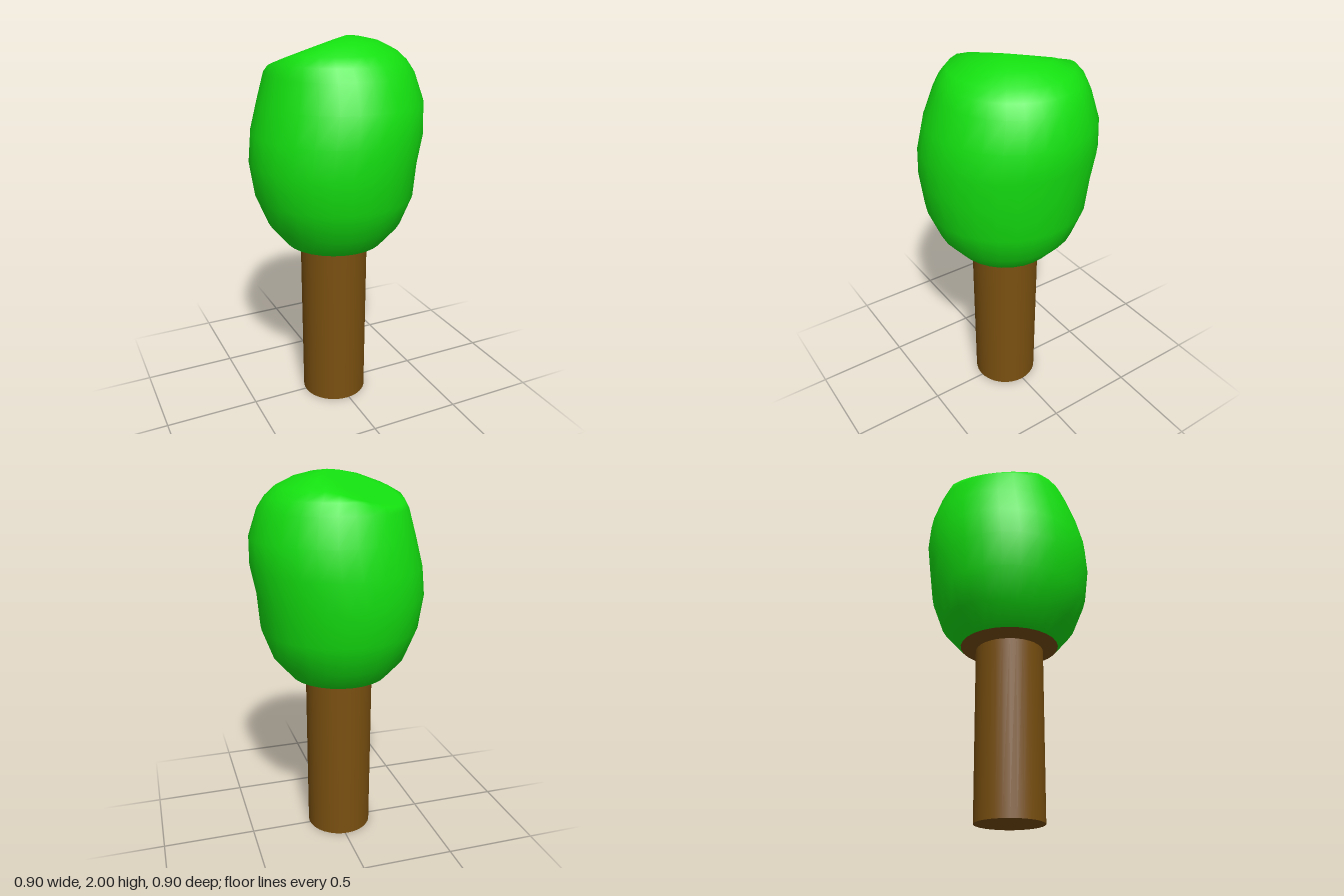
import * as THREE from 'three';

const SEG = 28;

// Skin through egg-shaped rings, each given as [y, xMin, xMax, zMin, zMax]
function loft(rings, limit = (x, y) => y) {
  const pos = [], index = [], row = SEG + 1;
  for (const [y, x0, x1, z0, z1] of rings) {
    const cx = (x0 + x1) / 2, cz = (z0 + z1) / 2;
    for (let i = 0; i < SEG; i++) {
      const a = (i / SEG) * Math.PI * 2;
      const x = cx + Math.cos(a) * (x1 - x0) / 2;
      const z = cz + Math.sin(a) * (z1 - z0) / 2;
      pos.push(x, limit(x, y, z), z);
    }
  }
  for (let r = 0; r < rings.length - 1; r++) {
    for (let i = 0; i < SEG; i++) {
      const j = (i + 1) % SEG;
      const a = r * SEG + i, n = r * SEG + j, b = a + SEG, m = n + SEG;
      index.push(a, b, n, n, b, m);
    }
  }
  const geo = new THREE.BufferGeometry();
  geo.setAttribute('position', new THREE.Float32BufferAttribute(pos, 3));
  geo.setIndex(index);
  geo.computeVertexNormals();
  return geo;
}

export function createModel() {
  const group = new THREE.Group();
  const bark = new THREE.MeshStandardMaterial({ color: 0x7a5010 });
  const leaves = new THREE.MeshStandardMaterial({ color: 0x14e010 });
  const add = (name, geo, mat) => {
    const mesh = new THREE.Mesh(geo, mat);
    mesh.name = name;
    group.add(mesh);
    return mesh;
  };

  // Trunk, a touch wider at the top
  const trunk = add('trunk', new THREE.CylinderGeometry(0.181, 0.177, 0.92, 32), bark);
  trunk.position.set(-0.013, 0.46, 0.008);

  // Shallow flare joining the trunk to the underside of the crown
  const crownBase = [0.93, -0.275, 0.25, -0.255, 0.27];
  add('trunkFlare', loft([[0.905, -0.194, 0.168, -0.173, 0.189], crownBase]), bark);

  // Crown: rounded, with its top cut by a plane sloping to the back and right
  const rings = [
    crownBase,
    [1.04, -0.365, 0.345, -0.36, 0.365],
    [1.20, -0.43, 0.405, -0.42, 0.43],
    [1.38, -0.455, 0.42, -0.445, 0.45],
    [1.53, -0.44, 0.45, -0.45, 0.455],
    [1.68, -0.40, 0.45, -0.43, 0.43],
    [1.82, -0.36, 0.405, -0.385, 0.37],
    [1.88, -0.335, 0.365, -0.36, 0.335],
    [1.925, -0.30, 0.315, -0.32, 0.29],
    [1.97, -0.19, 0.22, -0.21, 0.20],
    [1.99, -0.08, 0.13, -0.10, 0.13],
    [2.00, 0.04, 0.04, 0.04, 0.04],
  ];
  const slope = (x, y, z) => Math.min(y, 2 + 0.28 * (x + z - 0.08));
  add('crown', loft(rings, slope), leaves);

  return group;
}
